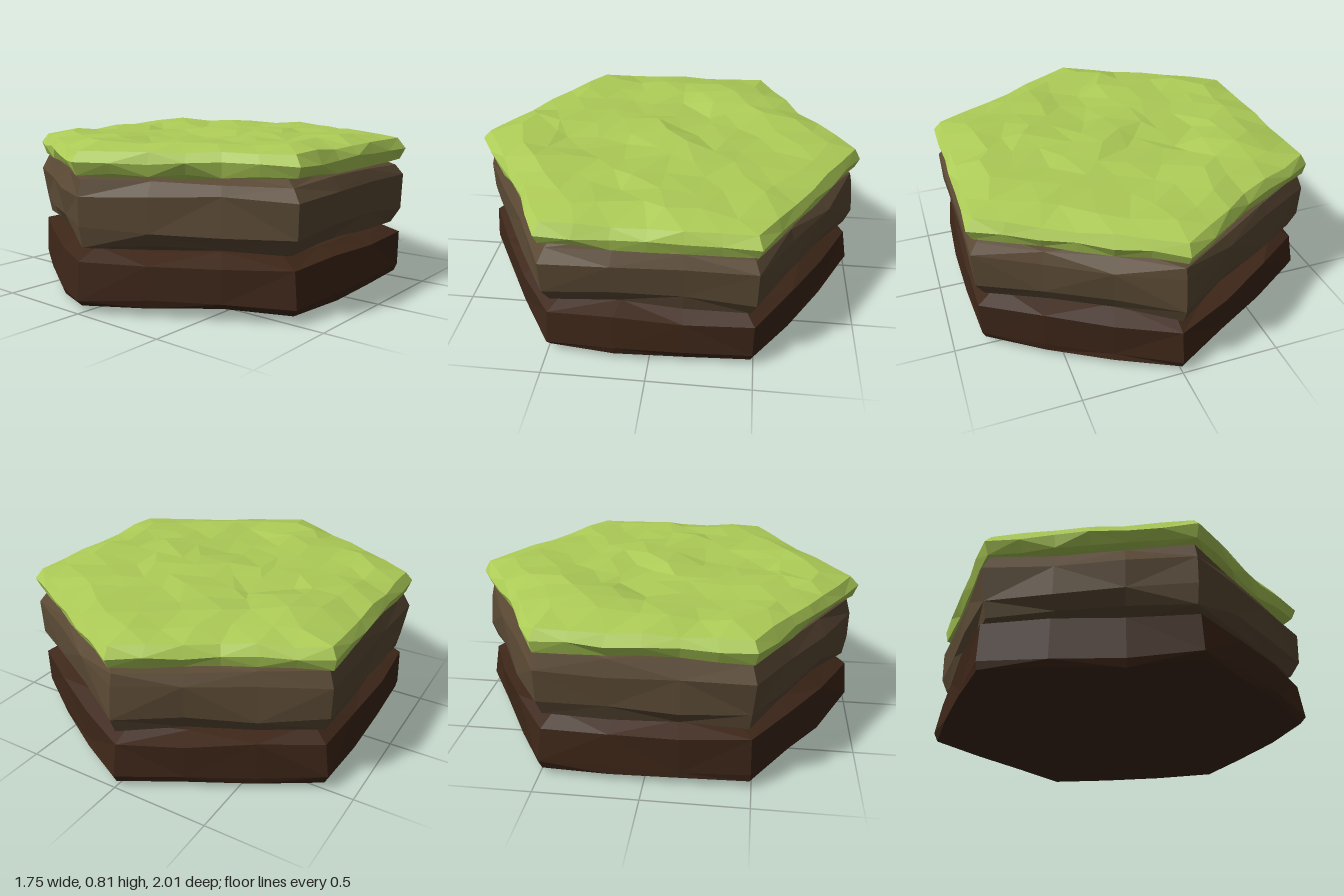
import * as THREE from 'three';

// Repeatable value in -1..1 from a position
function hash(x, y, z) {
  const s = Math.sin(Math.round(x * 500) * 12.9898 + Math.round(y * 500) * 78.233 + Math.round(z * 500) * 37.719) * 43758.5453;
  return 2 * (s - Math.floor(s)) - 1;
}

// Corner k of a unit hexagon whose points face front and back
function corner(k) {
  const a = (k * Math.PI) / 3;
  return new THREE.Vector3(Math.sin(a), 0, Math.cos(a));
}

// Ring of 6n points along the hexagon sides
function hexRing(n, scale, y) {
  const ring = [];
  for (let k = 0; k < 6; k++) {
    for (let i = 0; i < n; i++) {
      const p = corner(k).lerp(corner(k + 1), i / n).multiplyScalar(scale);
      p.y = y;
      ring.push(p);
    }
  }
  return ring;
}

// Skin made of rings running from the bottom centre, up the side, to the top.
// A lattice cap closes the top; roughen() displaces every point by its position.
function hexLayer(name, color, n, profile, capY, roughen) {
  const pos = [];
  const tri = (...pts) => pts.forEach((p) => pos.push(...roughen(p).toArray()));
  const rings = profile.map(([s, y]) => hexRing(n, s, y));
  const m = 6 * n;
  for (let j = 0; j + 1 < rings.length; j++) {
    for (let i = 0; i < m; i++) {
      const a = rings[j][i], b = rings[j][(i + 1) % m];
      const c = rings[j + 1][(i + 1) % m], d = rings[j + 1][i];
      if (j > 0 && (i + j) % 2) tri(a, b, d), tri(b, c, d);
      else {
        if (profile[j][0] > 0) tri(a, b, c);
        tri(a, c, d);
      }
    }
  }
  // Triangular lattice over the top
  const [rim, rimY] = profile[profile.length - 1];
  for (let k = 0; k < 6; k++) {
    const at = (u, v) => {
      const p = corner(k).multiplyScalar((u / n) * rim).addScaledVector(corner(k + 1), (v / n) * rim);
      p.y = u + v === n ? rimY : capY;
      return p;
    };
    for (let u = 0; u < n; u++) {
      for (let v = 0; u + v < n; v++) {
        tri(at(u, v), at(u + 1, v), at(u, v + 1));
        if (u + v < n - 1) tri(at(u + 1, v), at(u + 1, v + 1), at(u, v + 1));
      }
    }
  }
  const geo = new THREE.BufferGeometry();
  geo.setAttribute('position', new THREE.Float32BufferAttribute(pos, 3));
  geo.computeVertexNormals();
  const mesh = new THREE.Mesh(geo, new THREE.MeshStandardMaterial({ color, flatShading: true, roughness: 1 }));
  mesh.name = name;
  return mesh;
}

// Pull points inwards and shift them up or down at random
function jitter(p, inward, lift) {
  const q = p.clone();
  const f = 1 - inward * (0.5 + 0.5 * hash(p.z, p.x, p.y));
  q.x *= f;
  q.z *= f;
  q.y += lift * hash(p.x, p.y, p.z);
  return q;
}

const bump = (p, x, z, r) => Math.exp(-((p.x - x) ** 2 + (p.z - z) ** 2) / (r * r));

export function createModel() {
  const group = new THREE.Group();
  group.name = 'hexGroundTile';

  // Dark soil slab: slightly bulging sides and an uneven lower rim
  group.add(hexLayer('lowerSoil', 0x3d2618, 3,
    [[0, 0.035], [0.99, 0.035], [1.005, 0.07], [0.99, 0.25], [0.86, 0.285]], 0.295, (p) => {
      const q = jitter(p, 0.025, p.y > 0.2 ? 0.015 : 0.008);
      const bulge = 1 + 0.15 * Math.max(0, 1 - Math.hypot(p.x, p.z));
      q.x *= bulge;
      q.z *= bulge;
      if (p.y < 0.1) q.y += 0.018 * bump(p, 0.4, 0.75, 0.4) - 0.035 * bump(p, -0.28, 0.8, 0.3);
      else q.y -= 0.02 * bump(p, 0, -1, 0.4);
      q.y = Math.max(q.y, 0);
      return q;
    }));

  // Chunky middle layer with chamfered rims, sinking a little to the left and back
  group.add(hexLayer('middleEarth', 0x5a4934, 3,
    [[0, 0.275], [0.86, 0.285], [0.965, 0.315], [1.005, 0.39], [1.005, 0.55], [0.965, 0.615], [0.89, 0.635]], 0.64,
    (p) => {
      const q = jitter(p, 0.03, 0.015);
      if (p.y > 0.6) q.y += 0.01 * (p.z - p.x);
      return q;
    }));

  // Grass sheet with a raised turf ridge, small hollows and nicks in the rim
  group.add(hexLayer('grass', 0xadcc57, 6,
    [[0, 0.635], [0.94, 0.632], [0.985, 0.642], [1.01, 0.7], [0.975, 0.75]], 0.772, (p) => {
      const q = jitter(p, 0.015, 0.009);
      const nick = 1 - 0.035 * (bump(p, 0.52, 0.7, 0.2) + bump(p, -0.42, -0.74, 0.2));
      q.x *= nick;
      q.z *= nick;
      if (p.y > 0.77) {
        // Interior points also wander sideways
        q.x += 0.05 * hash(p.x, 3, p.z);
        q.z += 0.05 * hash(p.z, 5, p.x);
        q.y += 0.012 * (1 - Math.hypot(p.x, p.z)) + 0.006 * hash(p.x, 7, p.z);
        // Turf is higher on one side of a diagonal line
        const side = 0.78 * (q.x + 0.38) + 0.62 * (q.z + 0.2);
        q.y -= 0.026 * Math.tanh(side * 14) * bump(q, -0.38, -0.2, 0.4);
        q.y += 0.022 * bump(q, 0.05, 0, 0.15) + 0.012 * bump(q, 0.5, 0, 0.2);
        q.y -= 0.022 * bump(q, 0.05, 0.45, 0.15) + 0.02 * bump(q, 0.2, 0.12, 0.15);
        q.y = Math.min(q.y, 0.812);
      }
      return q;
    }));

  return group;
}
